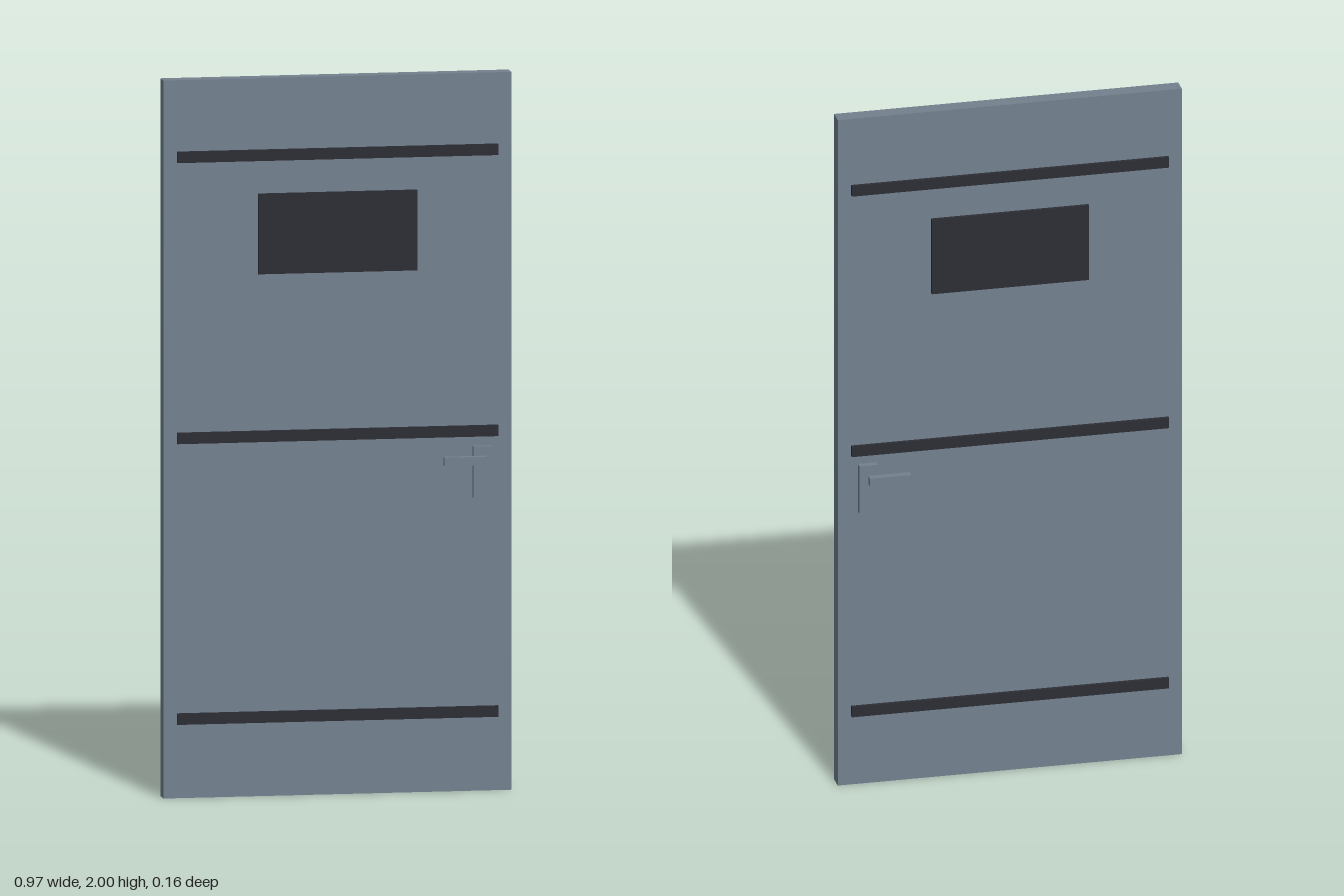
import * as THREE from 'three';

export function createModel() {
  const door = new THREE.Group();
  door.name = 'door';

  const steel = new THREE.MeshStandardMaterial({ color: 0x73818e });
  steel.name = 'slate steel';
  const dark = new THREE.MeshStandardMaterial({ color: 0x2d2d35 });
  dark.name = 'dark trim';

  const box = (name, material, size, position, parent = door) => {
    const mesh = new THREE.Mesh(new THREE.BoxGeometry(...size), material);
    mesh.name = name;
    mesh.position.set(...position);
    parent.add(mesh);
  };

  // Door leaf
  box('panel', steel, [0.972, 2, 0.044], [0, 1, 0]);

  // Window and reinforcing strips pass through the leaf and stand proud on both faces
  box('window', dark, [0.444, 0.224, 0.064], [0, 1.567, 0]);
  for (const [name, y] of [['lowerStrip', 0.221], ['middleStrip', 1.003], ['upperStrip', 1.786]]) {
    box(name, dark, [0.896, 0.031, 0.064], [0, y, 0]);
  }

  // Lock plate and lever on each face
  for (const side of [1, -1]) {
    const handle = new THREE.Group();
    handle.name = side > 0 ? 'frontHandle' : 'backHandle';
    box('lockPlate', steel, [0.052, 0.143, 0.02], [0.403, 0.89, side * 0.03], handle);
    box('lever', steel, [0.117, 0.024, 0.022], [0.349, 0.926, side * 0.067], handle);
    door.add(handle);
  }

  return door;
}
